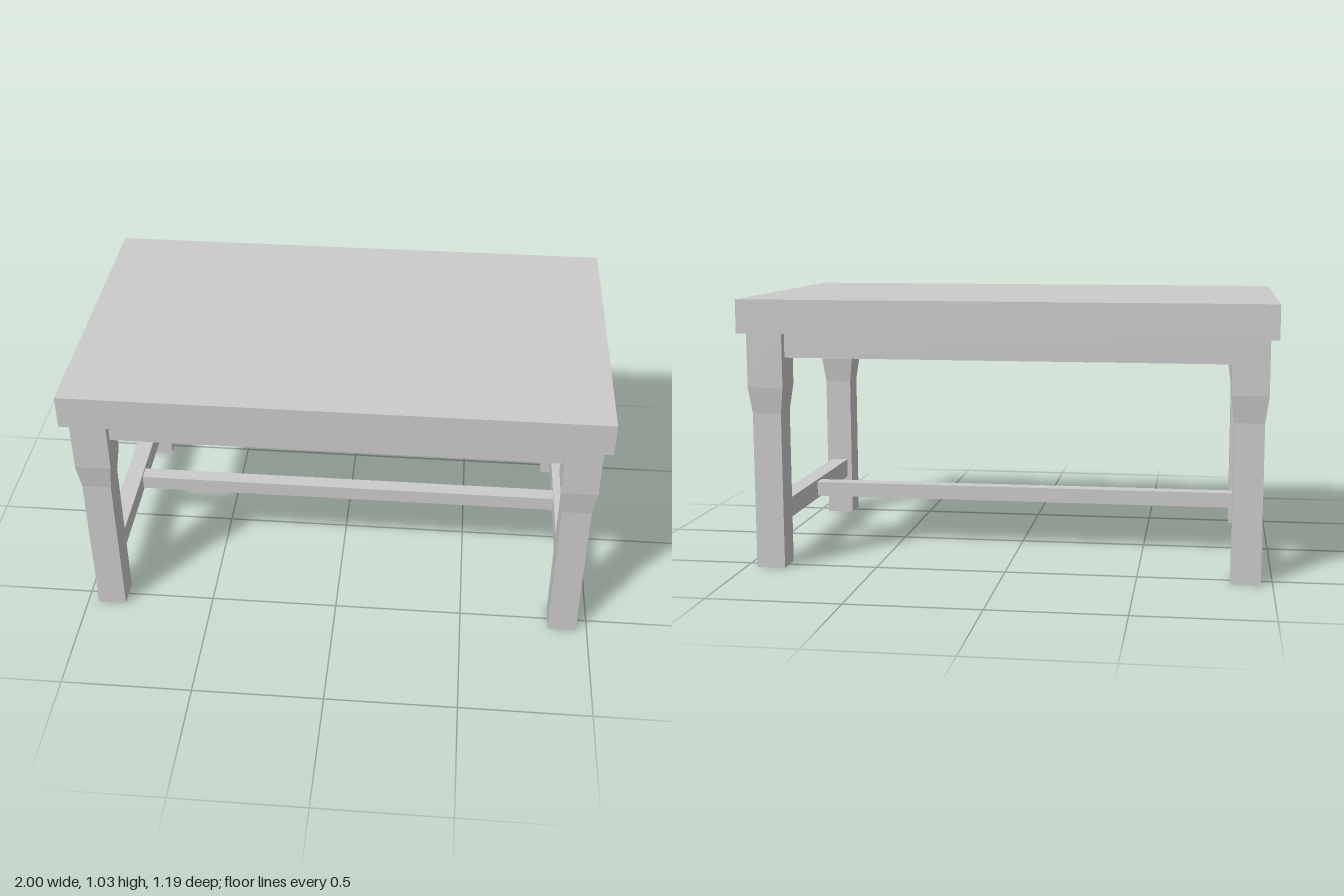
import * as THREE from 'three';

const material = new THREE.MeshStandardMaterial({ color: 0xcccccc, flatShading: true });

const LEG_X = 0.902, LEG_Z = 0.5;   // leg centres
const TOP_Y = 0.905;                // underside of the table top

// Box spanning y0..y1, centred on (x, z)
function beam(name, width, depth, y0, y1, x = 0, z = 0) {
  const mesh = new THREE.Mesh(new THREE.BoxGeometry(width, y1 - y0, depth), material);
  mesh.position.set(x, (y0 + y1) / 2, z);
  mesh.name = name;
  return mesh;
}

// Square leg: slim post, tapered shoulder, thicker head
function legGeometry() {
  const levels = [[0, 0.055], [0.6, 0.055], [0.7, 0.068], [TOP_Y, 0.068]]; // height, half width
  const geometry = new THREE.BoxGeometry(2, 3, 2, 1, 3, 1);
  const p = geometry.attributes.position;
  for (let i = 0; i < p.count; i++) {
    const [y, half] = levels[Math.round(p.getY(i) + 1.5)];
    p.setXYZ(i, Math.sign(p.getX(i)) * half, y, Math.sign(p.getZ(i)) * half);
  }
  geometry.computeVertexNormals();
  return geometry;
}

export function createModel() {
  const table = new THREE.Group();
  table.name = 'table';

  table.add(beam('tableTop', 2, 1.19, TOP_Y, 1.032));

  // Four legs
  const legShape = legGeometry();
  for (const sx of [-1, 1]) {
    for (const sz of [-1, 1]) {
      const leg = new THREE.Mesh(legShape, material);
      leg.name = (sz > 0 ? 'front' : 'back') + (sx > 0 ? 'Left' : 'Right') + 'Leg';
      leg.position.set(sx * LEG_X, 0, sz * LEG_Z);
      table.add(leg);
    }
  }

  // Aprons under the top and low stretchers between the legs
  for (const s of [-1, 1]) {
    const end = s > 0 ? 'left' : 'right';
    table.add(
      beam((s > 0 ? 'front' : 'back') + 'Apron', 1.668, 0.07, 0.81, TOP_Y, 0, s * LEG_Z),
      beam(end + 'Apron', 0.07, 0.864, 0.81, TOP_Y, s * LEG_X, 0),
      beam(end + 'Stretcher', 0.07, 0.89, 0.163, 0.242, s * LEG_X, 0),
    );
  }

  // Long stretcher joining the two end stretchers
  table.add(beam('longStretcher', 2 * LEG_X - 0.07, 0.06, 0.173, 0.232));

  return table;
}
